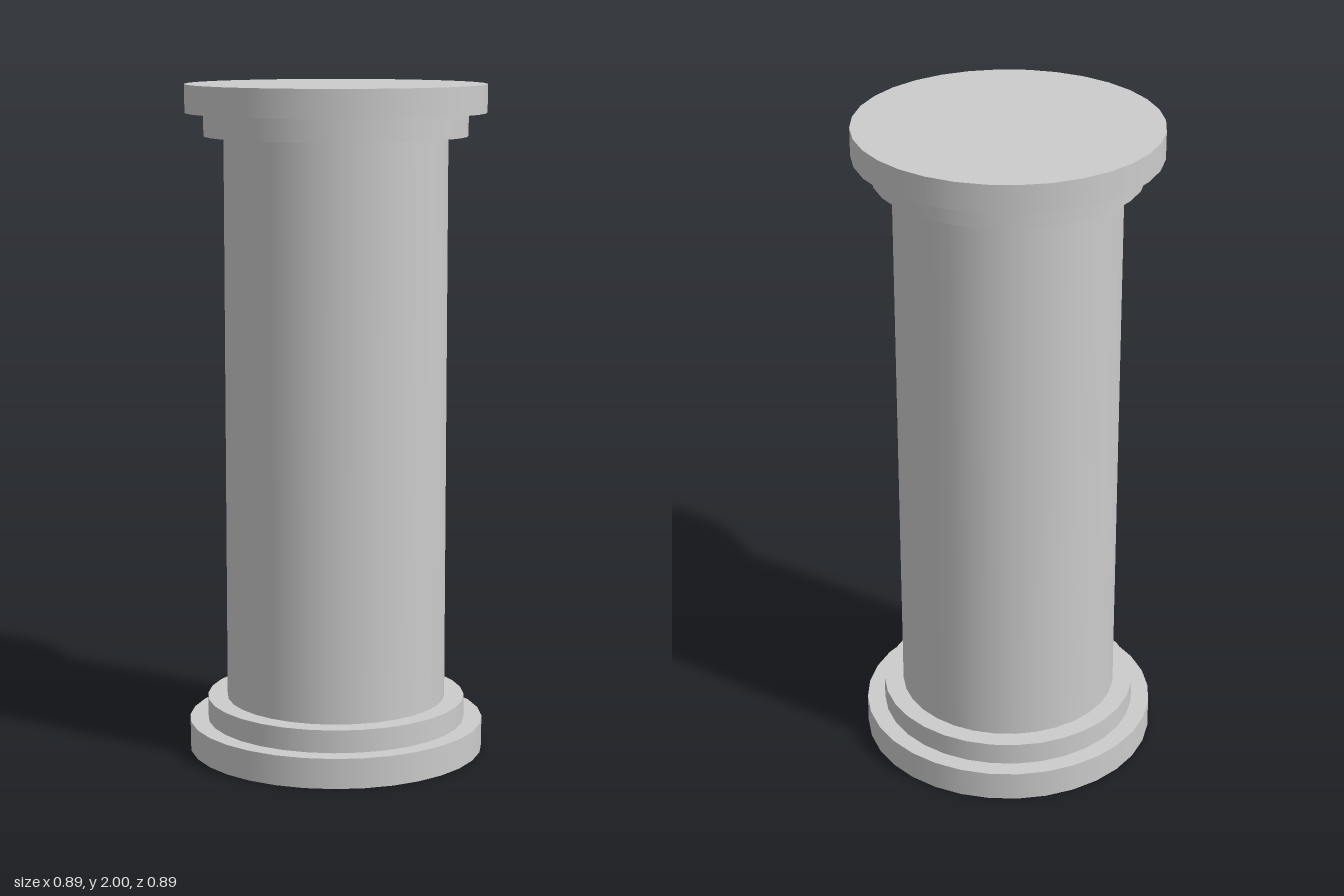
import * as THREE from 'three';

const SIDES = 32;

export function createModel() {
  const column = new THREE.Group();
  column.name = 'column';
  const material = new THREE.MeshStandardMaterial({ color: 0xcccccc });

  // Upright drum spanning two heights
  function addDrum(name, radius, bottom, top) {
    const geometry = new THREE.CylinderGeometry(radius, radius, top - bottom, SIDES);
    const mesh = new THREE.Mesh(geometry, material);
    mesh.name = name;
    mesh.position.y = (bottom + top) / 2;
    column.add(mesh);
  }

  // Stepped base
  addDrum('basePlinth', 0.444, 0, 0.09);
  addDrum('baseCollar', 0.389, 0.09, 0.158);

  // Plain shaft
  addDrum('shaft', 0.33, 0.158, 1.849);

  // Stepped capital
  addDrum('capitalCollar', 0.389, 1.849, 1.917);
  addDrum('capitalSlab', 0.444, 1.917, 2);

  return column;
}
